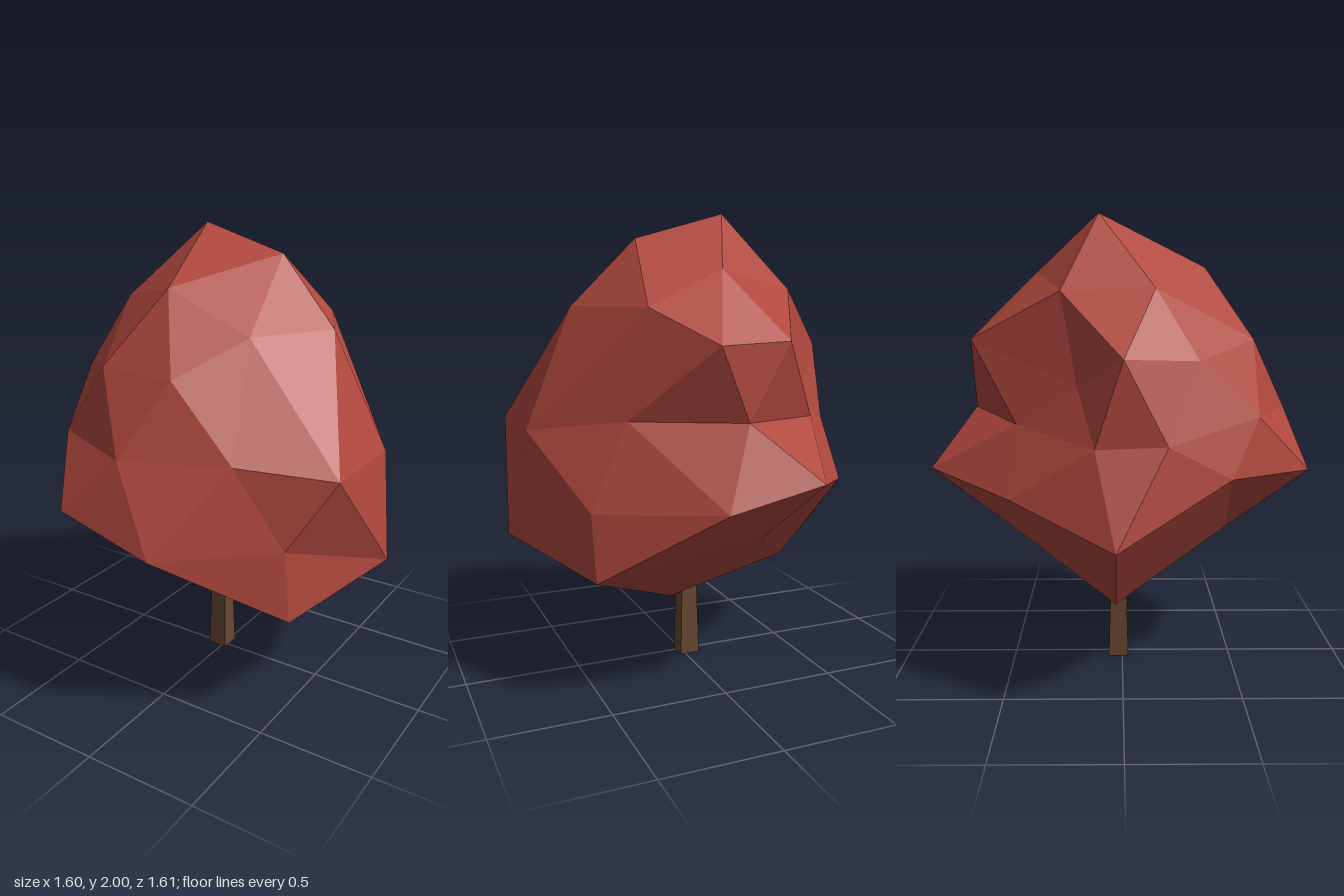
import * as THREE from 'three';

// Crown cross-sections from top to bottom, x y z per point, going round from +x towards +z
const rings = [
  [-0.15, 2, -0.1],
  [0.24, 1.89, -0.08, -0.03, 1.78, 0.36, -0.41, 1.69, 0.13, -0.4, 1.68, -0.25, -0.03, 1.76, -0.37],
  [0.51, 1.61, -0.03, 0.31, 1.61, 0.3, 0.12, 1.47, 0.56, -0.22, 1.48, 0.55, -0.5, 1.41, 0.3,
    -0.68, 1.43, 0, -0.53, 1.31, -0.18, -0.2, 1.48, -0.64, 0.11, 1.47, -0.67, 0.31, 1.61, -0.425],
  [0.73, 1.11, 0.33, 0.39, 1.17, 0.55, -0.03, 1.17, 0.72, -0.43, 1.18, 0.55, -0.67, 1.1, 0.17,
    -0.67, 1.09, -0.11, -0.42, 1.15, -0.43, -0.02, 1.17, -0.65, 0.4, 1.17, -0.43, 0.73, 1.11, -0.11],
  [0.8, 0.66, -0.03, 0.56, 0.82, 0.44, 0.165, 0.82, 0.8, -0.27, 0.93, 0.79, -0.56, 0.95, 0.43,
    -0.8, 0.72, -0.03, -0.56, 0.87, -0.45, -0.27, 0.94, -0.81, 0.11, 0.84, -0.755, 0.56, 0.82, -0.45],
  [0.58, 0.51, 0.425, -0.185, 0.655, 0.45, -0.51, 0.42, -0.03, -0.17, 0.65, -0.48, 0.55, 0.545, -0.48],
  [0.06, 0.28, -0.03],
];

function crownGeometry() {
  const positions = [];
  const point = (ring, i) => {
    const n = rings[ring].length / 3;
    const k = ((i + n) % n) * 3;
    return rings[ring].slice(k, k + 3);
  };
  // A large triangle with corners a, b, c split in four at its edge points
  const face = (a, b, c, ab, bc, ca) => {
    for (const p of [a, ab, ca, ab, b, bc, ca, bc, c, ab, bc, ca]) positions.push(...p);
  };
  const top = point(0, 0);
  const bottom = point(6, 0);
  for (let i = 0; i < 5; i++) {
    const upper = point(2, 2 * i);
    const upperNext = point(2, 2 * i + 2);
    const lower = point(4, 2 * i + 1);
    const lowerPrev = point(4, 2 * i - 1);
    const upperMid = point(2, 2 * i + 1);
    const lowerMid = point(4, 2 * i);
    face(top, upperNext, upper, point(1, i + 1), upperMid, point(1, i));
    face(upper, upperNext, lower, upperMid, point(3, 2 * i + 1), point(3, 2 * i));
    face(upper, lower, lowerPrev, point(3, 2 * i), lowerMid, point(3, 2 * i - 1));
    face(bottom, lowerPrev, lower, point(5, i - 1), lowerMid, point(5, i));
  }
  const geometry = new THREE.BufferGeometry();
  geometry.setAttribute('position', new THREE.Float32BufferAttribute(positions, 3));
  geometry.computeVertexNormals();
  return geometry;
}

export function createModel() {
  const group = new THREE.Group();
  group.name = 'tree';

  // Faceted leaf crown
  const crown = new THREE.Mesh(
    crownGeometry(),
    new THREE.MeshStandardMaterial({ color: 0xb0483e, flatShading: true }),
  );
  crown.name = 'crown';
  group.add(crown);

  // Tapered square trunk
  const height = 0.345;
  const trunkGeometry = new THREE.CylinderGeometry(0.036 * Math.SQRT2, 0.045 * Math.SQRT2, height, 4);
  trunkGeometry.rotateY(Math.PI / 4);
  const trunk = new THREE.Mesh(
    trunkGeometry,
    new THREE.MeshStandardMaterial({ color: 0x664630, flatShading: true }),
  );
  trunk.name = 'trunk';
  trunk.position.set(-0.022, height / 2, -0.017);
  group.add(trunk);

  return group;
}
